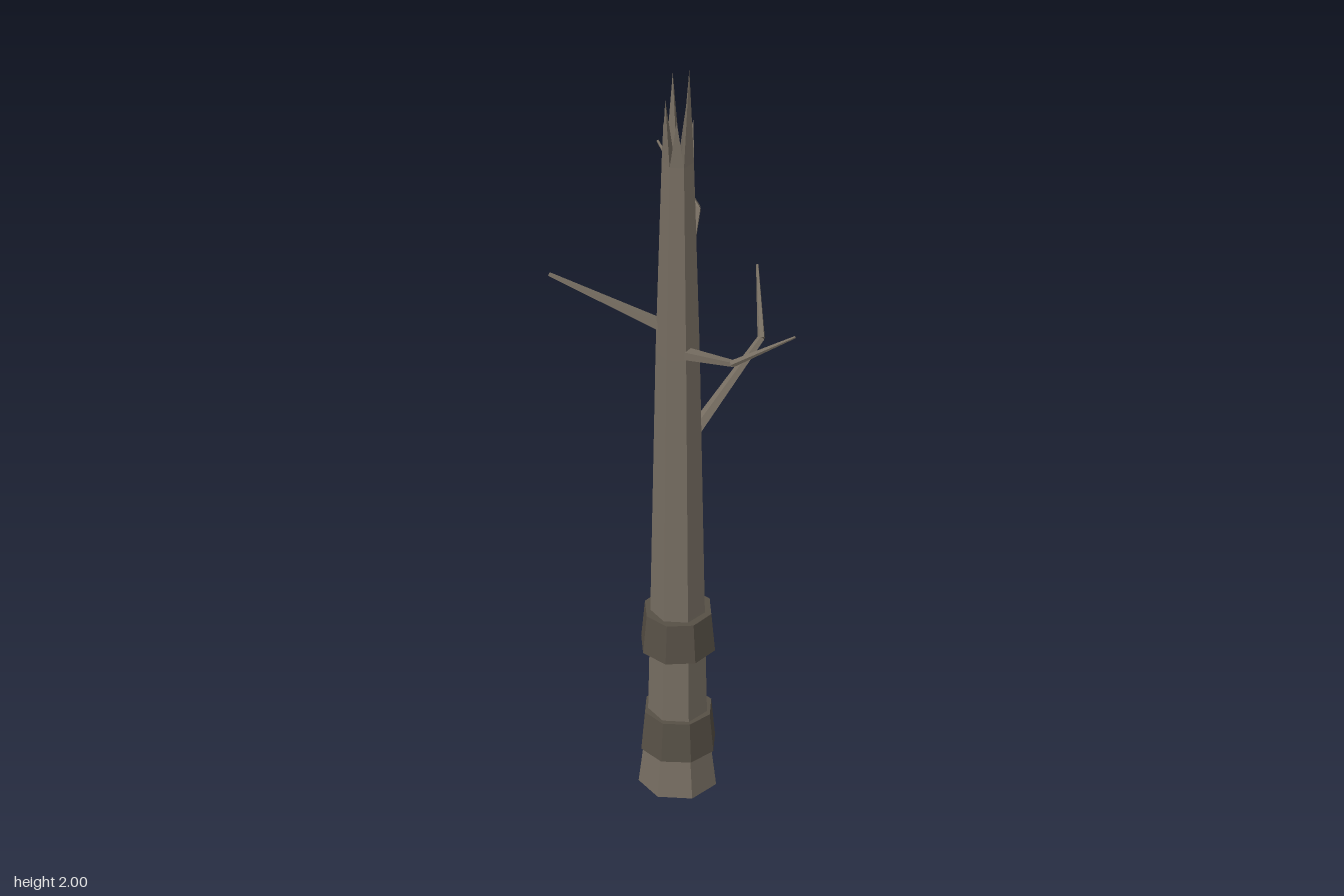
import * as THREE from 'three';

const CX = -0.04, CZ = 0.128, SIDES = 7, START = -0.09;

const bark = new THREE.MeshStandardMaterial({ color: 0x776e62, flatShading: true });
const darkBark = new THREE.MeshStandardMaterial({ color: 0x575046, flatShading: true });

function add(parent, name, geometry, material) {
  const mesh = new THREE.Mesh(geometry, material);
  mesh.name = name;
  parent.add(mesh);
  return mesh;
}

// Tapered limb segment between two points
function limb(a, b, r0, r1) {
  const dir = b.clone().sub(a);
  const g = new THREE.CylinderGeometry(r1, r0, dir.length(), 5);
  g.applyQuaternion(new THREE.Quaternion().setFromUnitVectors(new THREE.Vector3(0, 1, 0), dir.normalize()));
  const mid = a.clone().add(b).multiplyScalar(0.5);
  return g.translate(mid.x, mid.y, mid.z);
}

// Three-sided splinter rising from one side of the broken trunk
function splinter(i, y, r, tipY) {
  const at = (k, radius, h) => {
    const t = START + (k * Math.PI * 2) / SIDES;
    return [Math.sin(t) * radius, h, Math.cos(t) * radius];
  };
  const a = at(i, r, y), b = at(i + 1, r, y), c = at(i + 0.5, r * 0.25, y);
  const tip = at(i + 0.5, r * 0.93, tipY);
  const g = new THREE.BufferGeometry();
  g.setAttribute('position', new THREE.Float32BufferAttribute(
    [a, b, tip, b, c, tip, c, a, tip].flat(), 3));
  g.computeVertexNormals();
  return g;
}

export function createModel() {
  const tree = new THREE.Group();
  tree.name = 'deadTree';

  const stem = new THREE.Group();
  stem.name = 'stem';
  stem.position.set(CX, 0, CZ);
  tree.add(stem);

  // Trunk with flared foot
  const profile = [[0, 0], [0.091, 0], [0.078, 0.11], [0.069, 0.2], [0.064, 0.48],
    [0.052, 1.2], [0.038, 1.73], [0, 1.73]].map(([r, y]) => new THREE.Vector2(r, y));
  add(stem, 'trunk', new THREE.LatheGeometry(profile, SIDES, START), bark);

  // Dark bands around the lower trunk
  [0.15, 0.425].forEach((y, i) => {
    const band = new THREE.CylinderGeometry(0.08, 0.089, 0.1, 8, 1, false, i * 0.12);
    add(stem, 'barkBand' + (i + 1), band.translate(0, y, 0), darkBark);
  });

  // Broken, splintered top, going round from the front
  const tips = [1.86, 2.0, 1.84, 1.86, 1.95, 1.83, 1.91];
  tips.forEach((h, i) => add(stem, 'splinter' + (i + 1), splinter(i, 1.73, 0.038, h), bark));

  // Bare branches: root, knee (if any), tip
  const branches = {
    frontLeftBranch: [[-0.02, 1.2, 0.14], [0.163, 1.31, 0.266], [0.308, 1.41, 0.236]],
    frontRightBranch: [[-0.06, 1.255, 0.137], [-0.31, 1.4, 0.245]],
    backRightBranch: [[-0.055, 1.275, 0.1], [-0.13, 1.38, -0.16], [-0.264, 1.485, -0.228]],
    backLeftBranch: [[-0.025, 0.935, 0.095], [0.04, 1.08, -0.143], [-0.033, 1.18, -0.273]],
  };
  for (const [name, path] of Object.entries(branches)) {
    const branch = new THREE.Group();
    branch.name = name;
    const pts = path.map((p) => new THREE.Vector3(...p));
    const radii = pts.length === 3 ? [0.017, 0.009, 0.003] : [0.017, 0.005];
    for (let i = 0; i < pts.length - 1; i++) {
      add(branch, 'limb' + (i + 1), limb(pts[i], pts[i + 1], radii[i], radii[i + 1]), bark);
    }
    tree.add(branch);
  }
  return tree;
}
